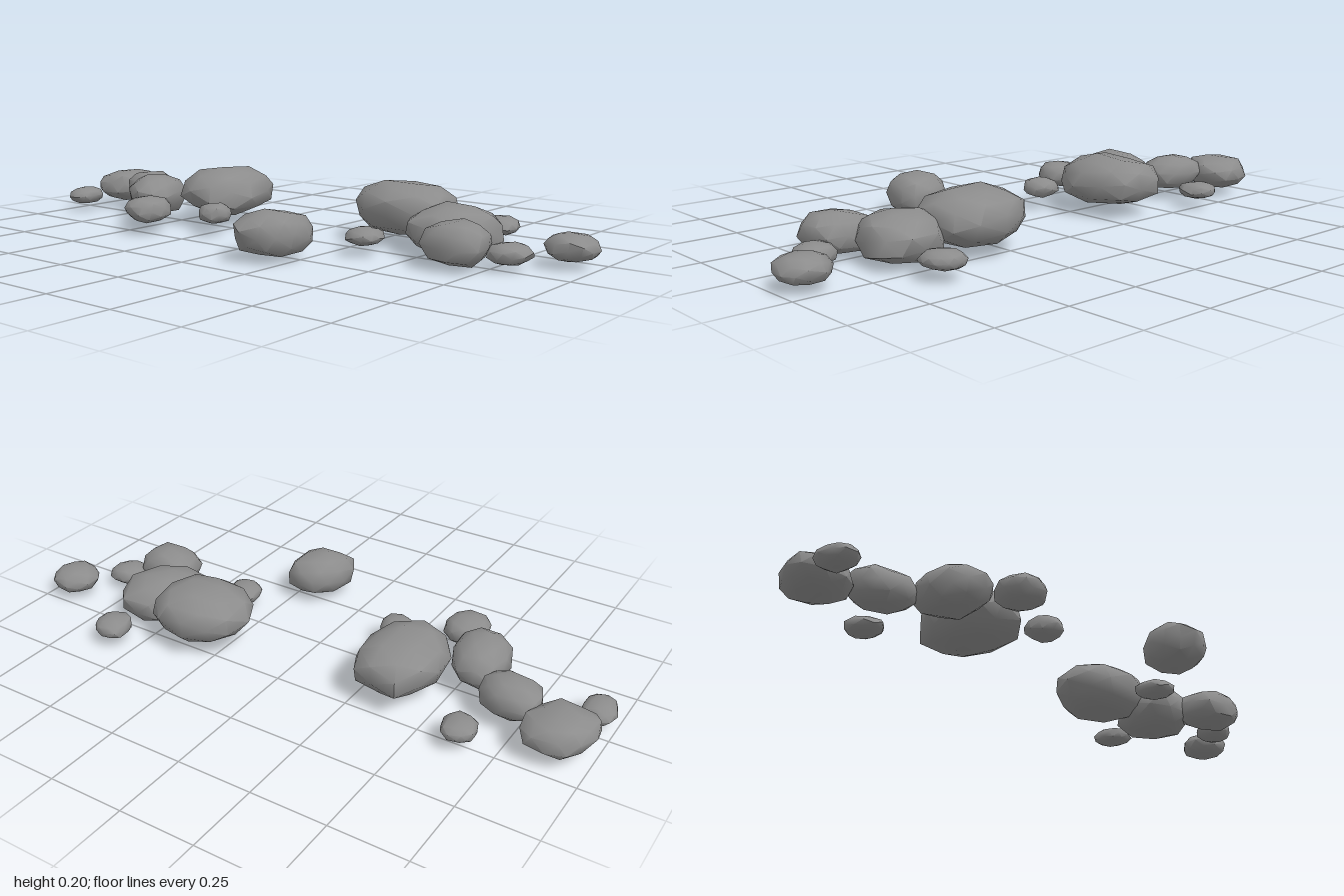
import * as THREE from 'three';
import { mergeVertices, toCreasedNormals } from 'three/addons/utils/BufferGeometryUtils.js';

// Small seeded random generator
function seeded(seed) {
  let s = seed * 7919 + 17;
  return () => (s = (s * 16807) % 2147483647) / 2147483647;
}

// Each rock: name, x range, y range, z range, plan skew (x by z)
const ROCKS = [
  ['leftLargeBoulder', 0.165, 0.5, 0.03, 0.2, -0.325, -0.04, 0],
  ['leftSlab', 0.42, 0.69, 0, 0.155, -0.26, 0.02, -0.15],
  ['leftBackPebble', 0.53, 0.65, 0.03, 0.09, -0.415, -0.285, 0.1],
  ['leftOuterStone', 0.84, 1, 0.015, 0.1, -0.255, -0.1, 0],
  ['leftOuterPebble', 0.73, 0.86, 0.015, 0.08, -0.09, 0.035, -0.1],
  ['leftMiddleStone', 0.555, 0.77, 0.01, 0.14, -0.04, 0.14, 0.1],
  ['leftInnerPebble', 0.295, 0.415, 0.03, 0.085, 0, 0.13, 0.1],
  ['leftFrontBoulder', 0.08, 0.285, 0.015, 0.155, 0.19, 0.415, -0.2],
  ['rightLargeBoulder', -0.495, -0.21, 0.03, 0.2, -0.25, 0.09, 0.05],
  ['rightMiddleStone', -0.645, -0.445, 0.03, 0.17, -0.05, 0.19, 0.2],
  ['rightFlatStone', -0.815, -0.61, 0.03, 0.15, -0.145, 0.03, 0.15],
  ['rightSlab', -1, -0.78, 0.02, 0.135, -0.235, -0.01, -0.1],
  ['rightBackPebble', -0.69, -0.575, 0.03, 0.09, -0.31, -0.18, 0.1],
  ['rightOuterPebble', -1, -0.89, 0.025, 0.085, 0, 0.13, 0.1],
  ['rightFrontStone', -0.5, -0.35, 0.035, 0.12, 0.155, 0.31, 0],
  ['rightInnerPebble', -0.28, -0.165, 0.04, 0.105, 0.06, 0.18, 0.1],
];

// Pushes a coordinate outward a little, so the ball becomes slightly boxy
const fuller = (c) => Math.sign(c) * Math.abs(c) ** 0.9;

function rockGeometry(min, max, skew, seed) {
  const rand = seeded(seed);
  let geo = new THREE.IcosahedronGeometry(1, 1);
  geo.deleteAttribute('normal');
  geo.deleteAttribute('uv');
  geo = mergeVertices(geo, 1e-3);

  // Turn, roughen and skew the ball
  geo.rotateX(rand() * 6).rotateY(rand() * 6);
  const pos = geo.attributes.position;
  const v = new THREE.Vector3();
  for (let i = 0; i < pos.count; i++) {
    v.fromBufferAttribute(pos, i);
    v.set(fuller(v.x), fuller(v.y), fuller(v.z)).multiplyScalar(0.93 + 0.14 * rand());
    pos.setXYZ(i, v.x + skew * v.z, v.y, v.z);
  }

  // Fit the rock to its own space
  geo.computeBoundingBox();
  const { min: lo, max: hi } = geo.boundingBox;
  const scale = max.clone().sub(min).divide(hi.clone().sub(lo));
  for (let i = 0; i < pos.count; i++) {
    v.fromBufferAttribute(pos, i).sub(lo).multiply(scale).add(min);
    pos.setXYZ(i, v.x, v.y, v.z);
  }
  return toCreasedNormals(geo, 0.9);
}

export function createModel() {
  const group = new THREE.Group();
  group.name = 'scatteredRocks';
  const stone = new THREE.MeshStandardMaterial({ color: 0x8c8c8c });
  ROCKS.forEach(([name, x0, x1, y0, y1, z0, z1, skew], i) => {
    const min = new THREE.Vector3(x0, y0, z0);
    const max = new THREE.Vector3(x1, y1, z1);
    const rock = new THREE.Mesh(rockGeometry(min, max, skew, i + 1), stone);
    rock.name = name;
    group.add(rock);
  });
  return group;
}
